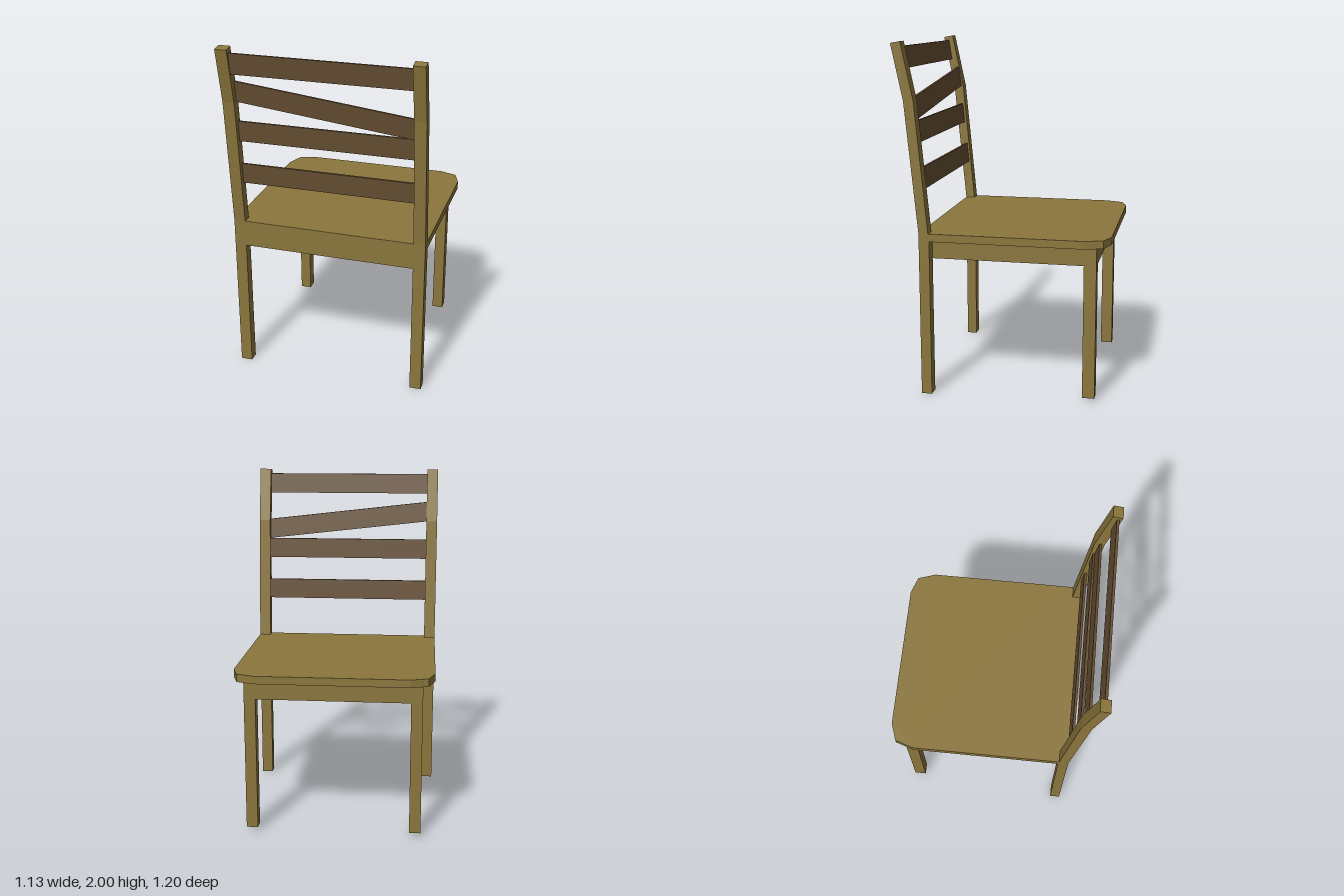
import * as THREE from 'three';

const frameMat = new THREE.MeshStandardMaterial({ color: 0x8b763c, flatShading: true });
const slatMat = new THREE.MeshStandardMaterial({ color: 0x664f33, flatShading: true });

// Box given by its min and max corners
function block(name, [x0, y0, z0], [x1, y1, z1]) {
  const geo = new THREE.BoxGeometry(x1 - x0, y1 - y0, z1 - z0);
  geo.translate((x0 + x1) / 2, (y0 + y1) / 2, (z0 + z1) / 2);
  const mesh = new THREE.Mesh(geo, frameMat);
  mesh.name = name;
  return mesh;
}

// Side profile of [z, y] points swept along x, centred on cx
function sideProfile(points, width, cx) {
  const shape = new THREE.Shape(points.map(([z, y]) => new THREE.Vector2(z, y)));
  const geo = new THREE.ExtrudeGeometry(shape, { depth: width, bevelEnabled: false });
  geo.rotateY(-Math.PI / 2);
  geo.translate(cx + width / 2, 0, 0);
  return geo;
}

// Leaning slat between the back posts; drop shears it down towards +x
function slat(name, y0, y1, z, lean, drop = 0) {
  const t = 0.014;
  const geo = sideProfile([[z, y0], [z + t, y0], [z + t + lean, y1], [z + lean, y1]], 1, 0);
  const pos = geo.attributes.position;
  for (let i = 0; i < pos.count; i++) {
    pos.setY(i, pos.getY(i) - drop * (pos.getX(i) + 0.5));
  }
  geo.computeVertexNormals();
  const mesh = new THREE.Mesh(geo, slatMat);
  mesh.name = name;
  return mesh;
}

export function createModel() {
  const chair = new THREE.Group();
  chair.name = 'chair';

  // Seat board with chamfered leading corners
  const half = [[0.565, 0.405], [0.565, -0.46], [0.53, -0.565], [0.43, -0.6]];
  const outline = [...half, ...half.map(([x, z]) => [-x, z]).reverse()];
  const seatGeo = new THREE.ExtrudeGeometry(
    new THREE.Shape(outline.map(([x, z]) => new THREE.Vector2(x, -z))),
    { depth: 0.045, bevelEnabled: false });
  seatGeo.rotateX(-Math.PI / 2);
  seatGeo.translate(0, 0.9, 0);
  const seat = new THREE.Mesh(seatGeo, frameMat);
  seat.name = 'seat';
  chair.add(seat);

  // Solid frame under the seat and the rail between the back posts
  chair.add(block('seatFrame', [-0.5, 0.79, -0.525], [0.5, 0.9, 0.405]));
  chair.add(block('backRail', [-0.5, 0.79, 0.405], [0.5, 0.945, 0.465]));

  // Legs; the tall ones continue as bent back posts
  const post = [[0.405, 0], [0.465, 0], [0.465, 0.945], [0.535, 1.68],
    [0.6, 1.99], [0.545, 2], [0.478, 1.68], [0.41, 0.945], [0.405, 0.945]];
  for (const s of [-1, 1]) {
    const side = s > 0 ? 'left' : 'right';
    const xs = [s * 0.435, s * 0.5].sort((a, b) => a - b);
    chair.add(block(side + 'ShortLeg', [xs[0], 0.02, -0.525], [xs[1], 0.79, -0.455]));
    const mesh = new THREE.Mesh(sideProfile(post, 0.067, s * 0.5315), frameMat);
    mesh.name = side + 'BackPost';
    chair.add(mesh);
  }

  // Back slats, one of them slanted
  chair.add(slat('lowerSlat', 1.185, 1.305, 0.444, 0.011));
  chair.add(slat('middleSlat', 1.445, 1.565, 0.47, 0.011));
  chair.add(slat('slantedSlat', 1.68, 1.8, 0.49, 0.016, 0.115));
  chair.add(slat('topSlat', 1.85, 1.97, 0.55, 0.018));

  return chair;
}
